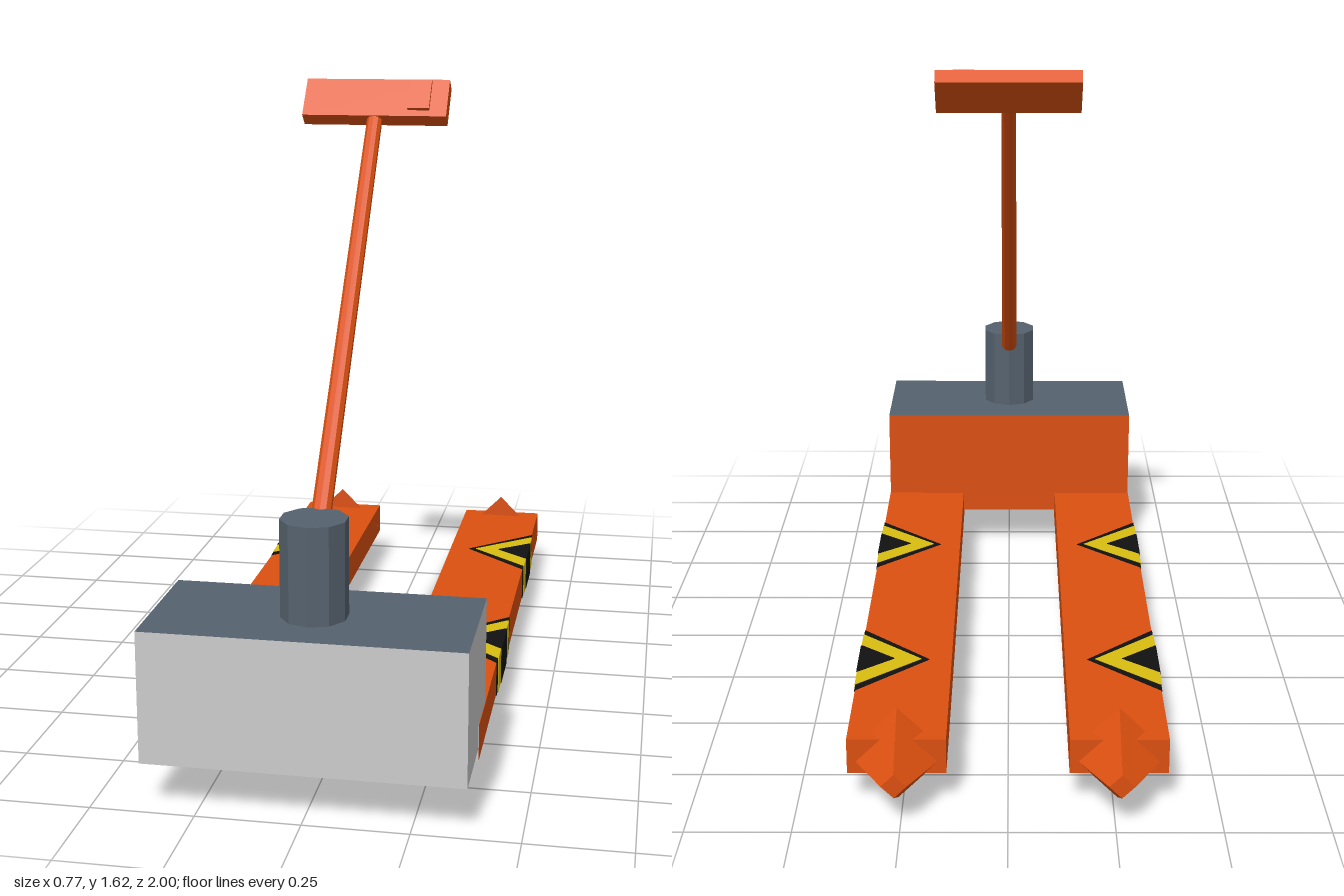
import * as THREE from 'three';

const mat = (name, color) => {
  const m = new THREE.MeshStandardMaterial({ color });
  m.name = name;
  return m;
};

// Facet a geometry so every side reads flat
const flat = (g) => {
  const f = g.toNonIndexed();
  f.computeVertexNormals();
  return f;
};

export function createModel() {
  const orange = mat('orange', 0xdc5010);
  const grey = mat('light grey', 0xcccccc);
  const slate = mat('slate', 0x55626e);
  const yellow = mat('yellow', 0xd9be10);
  const black = mat('black', 0x111111);

  const model = new THREE.Group();
  model.name = 'palletTruck';

  const add = (parent, name, geometry, material, x = 0, y = 0, z = 0) => {
    const mesh = new THREE.Mesh(geometry, material);
    mesh.name = name;
    mesh.position.set(x, y, z);
    parent.add(mesh);
    return mesh;
  };
  const box = (w, h, d) => new THREE.BoxGeometry(w, h, d);
  const roller = (r, w) => flat(new THREE.CylinderGeometry(r, r, w, 10).rotateZ(Math.PI / 2));

  // Power housing: grey sides, slate lid, orange back
  add(model, 'housing', box(0.756, 0.32, 0.35), [grey, grey, slate, grey, grey, orange], 0, 0.28, 0.825);

  // Steering mast
  add(model, 'mast', flat(new THREE.CylinderGeometry(0.08, 0.08, 0.235, 10)), slate, 0, 0.5575, 0.83);

  // Tiller: shaft, grip and lever share one tilted frame centred on the grip
  const tiller = new THREE.Group();
  tiller.name = 'tiller';
  tiller.position.set(0, 1.5575, -0.005);
  tiller.rotation.x = -THREE.MathUtils.degToRad(40);
  model.add(tiller);
  add(tiller, 'shaft', flat(new THREE.CylinderGeometry(0.02, 0.024, 1.2, 10)), orange, 0, -0.6, 0);
  add(tiller, 'grip', box(0.38, 0.117, 0.042), orange);
  add(tiller, 'lever', box(0.057, 0.09, 0.02), orange, 0.116, 0.005, 0.021);

  // Fork extents
  const outer = 0.379, inner = 0.145, low = 0.09, high = 0.178;

  // Nested hazard layers: half length along the edge, depth across the fork
  const layers = [
    { name: 'chevronOutline', m: black, half: 0.163, depth: 0.177 },
    { name: 'chevronBand', m: yellow, half: 0.135, depth: 0.157 },
    { name: 'chevronCore', m: black, half: 0.07, depth: 0.088 },
  ];

  for (const s of [1, -1]) {
    const fork = new THREE.Group();
    fork.name = s > 0 ? 'leftFork' : 'rightFork';
    model.add(fork);

    add(fork, 'forkBeam', box(outer - inner, high - low, 1.68),
      [orange, orange, orange, orange, grey, orange],
      s * (outer + inner) / 2, (high + low) / 2, -0.05);

    // Diamond-section pointed tip
    add(fork, 'forkTip', flat(new THREE.CylinderGeometry(0.03, 0.12, 0.15, 4).rotateX(-Math.PI / 2)),
      orange, s * 0.262, 0.12, -0.925);

    // Load roller under the tip and drive wheel under the housing
    add(fork, 'loadRoller', roller(0.06, 0.175), orange, s * 0.262, 0.12, -0.778);
    add(fork, 'driveWheel', roller(0.125, 0.09), grey, s * 0.15, 0.19, 0.83);

    // Hazard chevrons wrap the top, outer side and underside
    for (const z of [-0.49, 0.24]) {
      layers.forEach(({ name, m, half, depth }, i) => {
        const t = 0.0015 * (i + 1);
        const tri = new THREE.Shape([
          new THREE.Vector2(s * outer, -half),
          new THREE.Vector2(s * outer, half),
          new THREE.Vector2(s * (outer - depth), 0),
        ]);
        const plate = new THREE.ExtrudeGeometry(tri, { depth: t, bevelEnabled: false }).rotateX(-Math.PI / 2);
        add(fork, name + 'Top', plate, m, 0, high, z);
        add(fork, name + 'Bottom', plate, m, 0, low - t, z);
        add(fork, name + 'Side', box(t, high - low + 2 * t, half * 2), m, s * (outer + t / 2), (high + low) / 2, z);
      });
    }
  }
  return model;
}
